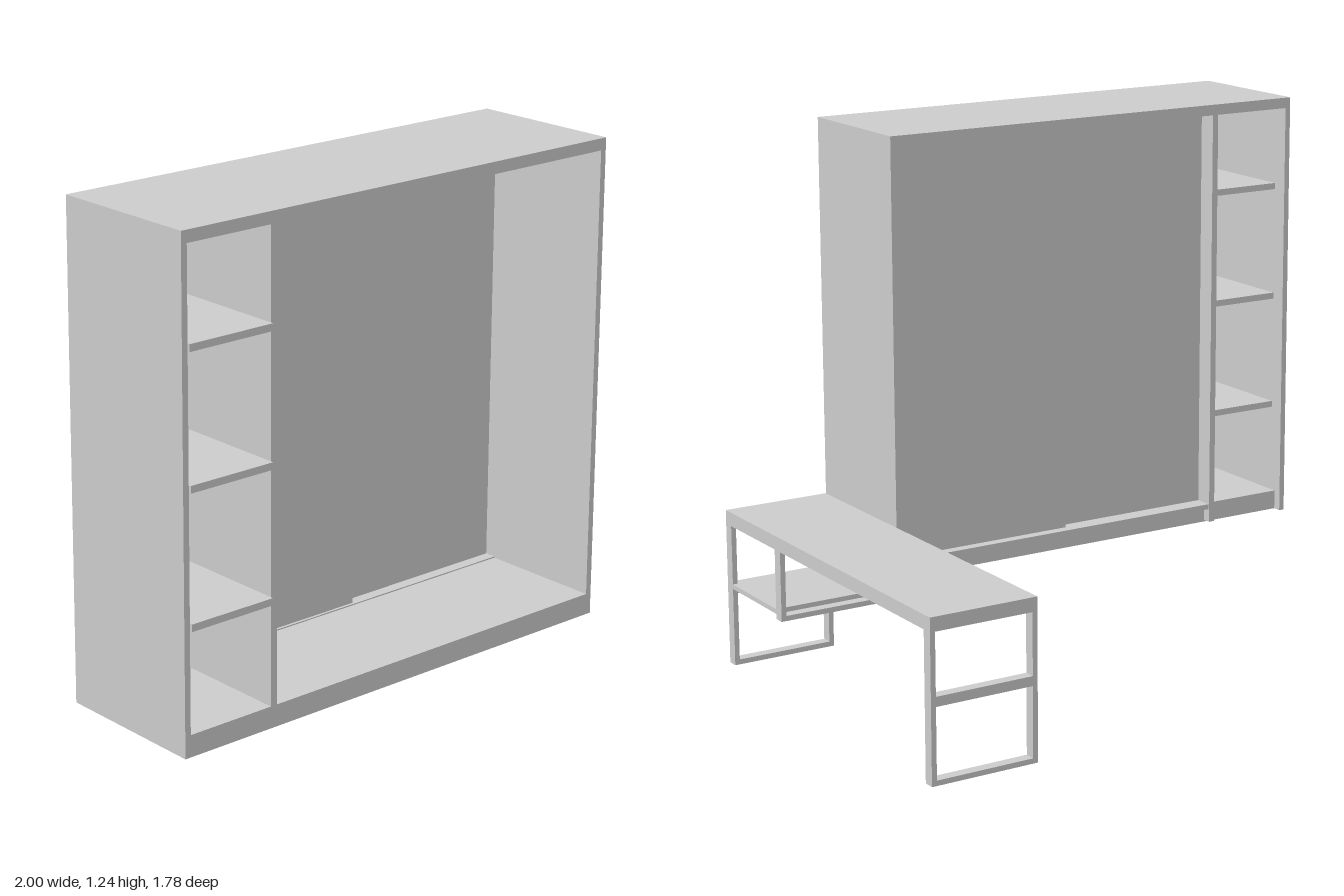
import * as THREE from 'three';

const material = new THREE.MeshStandardMaterial({ color: 0xcccccc, flatShading: true });

// Box given by its lower and upper limits on each axis
function panel(parent, name, [x0, x1], [y0, y1], [z0, z1]) {
  const mesh = new THREE.Mesh(new THREE.BoxGeometry(x1 - x0, y1 - y0, z1 - z0), material);
  mesh.position.set((x0 + x1) / 2, (y0 + y1) / 2, (z0 + z1) / 2);
  mesh.name = name;
  parent.add(mesh);
}

function createWardrobe() {
  const g = new THREE.Group();
  g.name = 'wardrobe';
  const depth = [0.475, 0.883];

  // Carcass
  panel(g, 'topPanel', [-1, 0.318], [1.205, 1.235], depth);
  panel(g, 'basePlinth', [-0.984, 0.318], [0, 0.055], [0.5, 0.883]);
  panel(g, 'rightSide', [-1, -0.984], [0, 1.205], depth);
  panel(g, 'leftSide', [0.302, 0.318], [0.045, 1.205], depth);
  panel(g, 'divider', [-0.746, -0.728], [0.005, 1.205], depth);

  // Open shelf column
  for (const y of [0.317, 0.645, 0.971]) {
    panel(g, 'shelf', [-0.984, -0.746], [y - 0.009, y + 0.009], [0.52, 0.89]);
  }

  // Overlapping sliding doors and their track
  panel(g, 'doorTrack', [-0.728, 0.302], [0.043, 0.058], [0.478, 0.555]);
  panel(g, 'innerDoor', [-0.728, -0.19], [0.058, 1.205], [0.53, 0.548]);
  panel(g, 'outerDoor', [-0.25, 0.302], [0.058, 1.205], [0.507, 0.525]);
  return g;
}

function createDesk() {
  const g = new THREE.Group();
  g.name = 'desk';
  const [x0, x1, t] = [0.717, 0.998, 0.013];

  // U-shaped support: two posts joined by a bar at the bottom
  function frame(name, bottom, z) {
    const f = new THREE.Group();
    f.name = name;
    panel(f, 'post', [x0, x0 + t], [bottom, 0.365], z);
    panel(f, 'post', [x1 - t, x1], [bottom, 0.365], z);
    panel(f, 'bottomBar', [x0 + t, x1 - t], [bottom, bottom + t], z);
    g.add(f);
    return f;
  }

  panel(g, 'deskTop', [x0, x1], [0.365, 0.4], [-0.89, 0.126]);
  for (const z of [[0.098, 0.126], [-0.89, -0.862]]) {
    const leg = frame('legFrame', 0, z);
    panel(leg, 'crossBar', [x0 + t, x1 - t], [0.188, 0.212], z);
  }

  // Hanging shelf under the front end
  frame('shelfHanger', 0.188, [-0.166, -0.138]);
  panel(g, 'underShelf', [x0, x1], [0.201, 0.213], [-0.138, 0.098]);
  return g;
}

export function createModel() {
  const model = new THREE.Group();
  model.name = 'wardrobeAndDesk';
  model.add(createWardrobe(), createDesk());
  return model;
}
